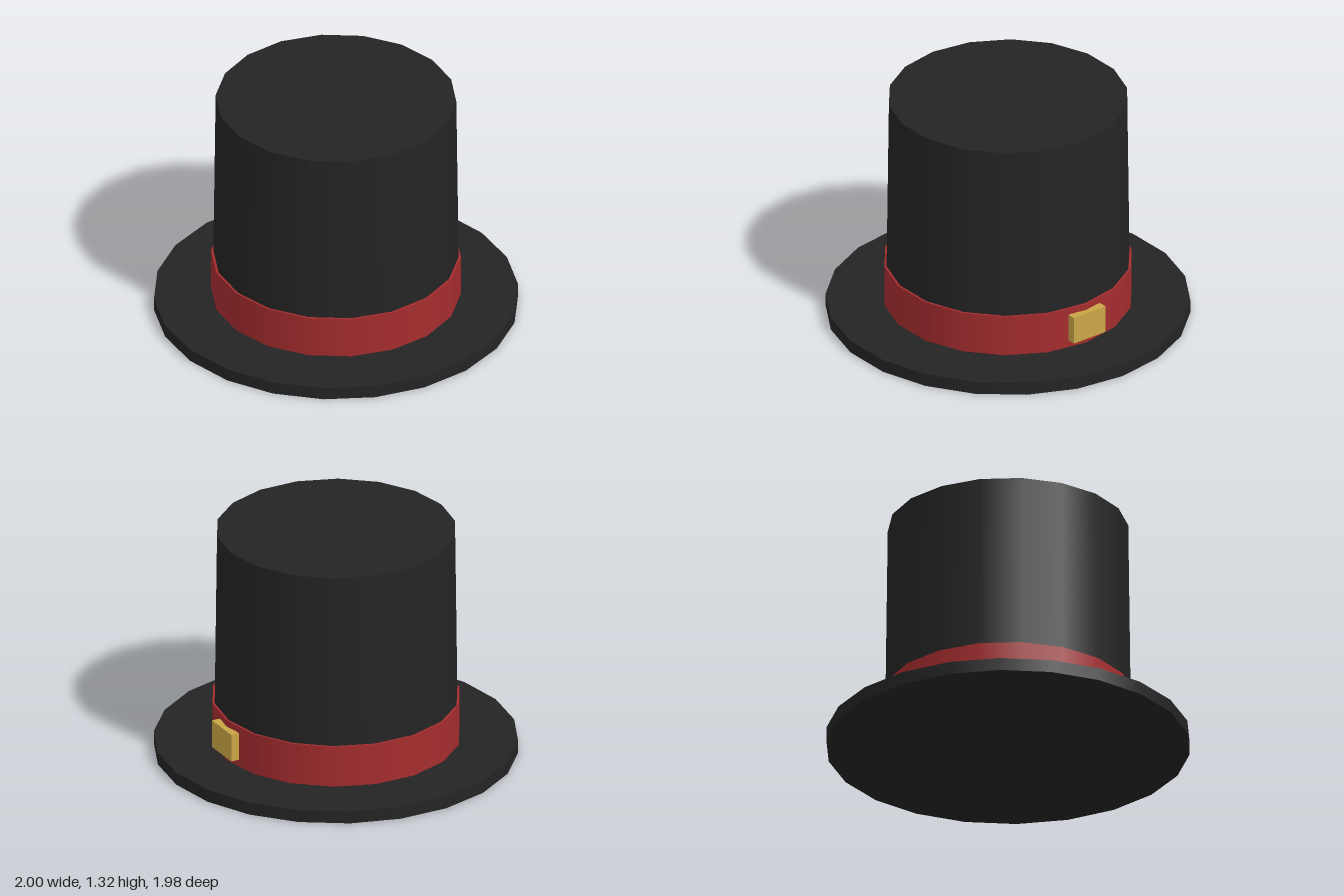
import * as THREE from 'three';

const material = (name, color) => {
  const m = new THREE.MeshStandardMaterial({ color });
  m.name = name;
  return m;
};

export function createModel() {
  const hat = new THREE.Group();
  hat.name = 'topHat';

  const felt = material('blackFelt', 0x242424);
  const ribbon = material('redRibbon', 0xa52c2e);
  const brass = material('brass', 0xc9a646);

  // Upright drum between two heights, with a corner pointing along +x
  const drum = (name, rTop, rBottom, y0, y1, sides, mat) => {
    const geo = new THREE.CylinderGeometry(rTop, rBottom, y1 - y0, sides, 1, false, Math.PI / 2);
    const mesh = new THREE.Mesh(geo, mat);
    mesh.name = name;
    mesh.position.y = (y0 + y1) / 2;
    hat.add(mesh);
  };

  drum('brim', 1, 1, 0, 0.072, 22, felt);
  drum('crown', 0.66, 0.676, 0.06, 1.32, 18, felt);
  drum('band', 0.685, 0.685, 0.078, 0.317, 18, ribbon);

  // Buckle on the left side of the band
  const buckle = new THREE.Mesh(new THREE.BoxGeometry(0.047, 0.16, 0.22), brass);
  buckle.name = 'buckle';
  buckle.position.set(0.693, 0.2, 0);
  hat.add(buckle);

  return hat;
}
